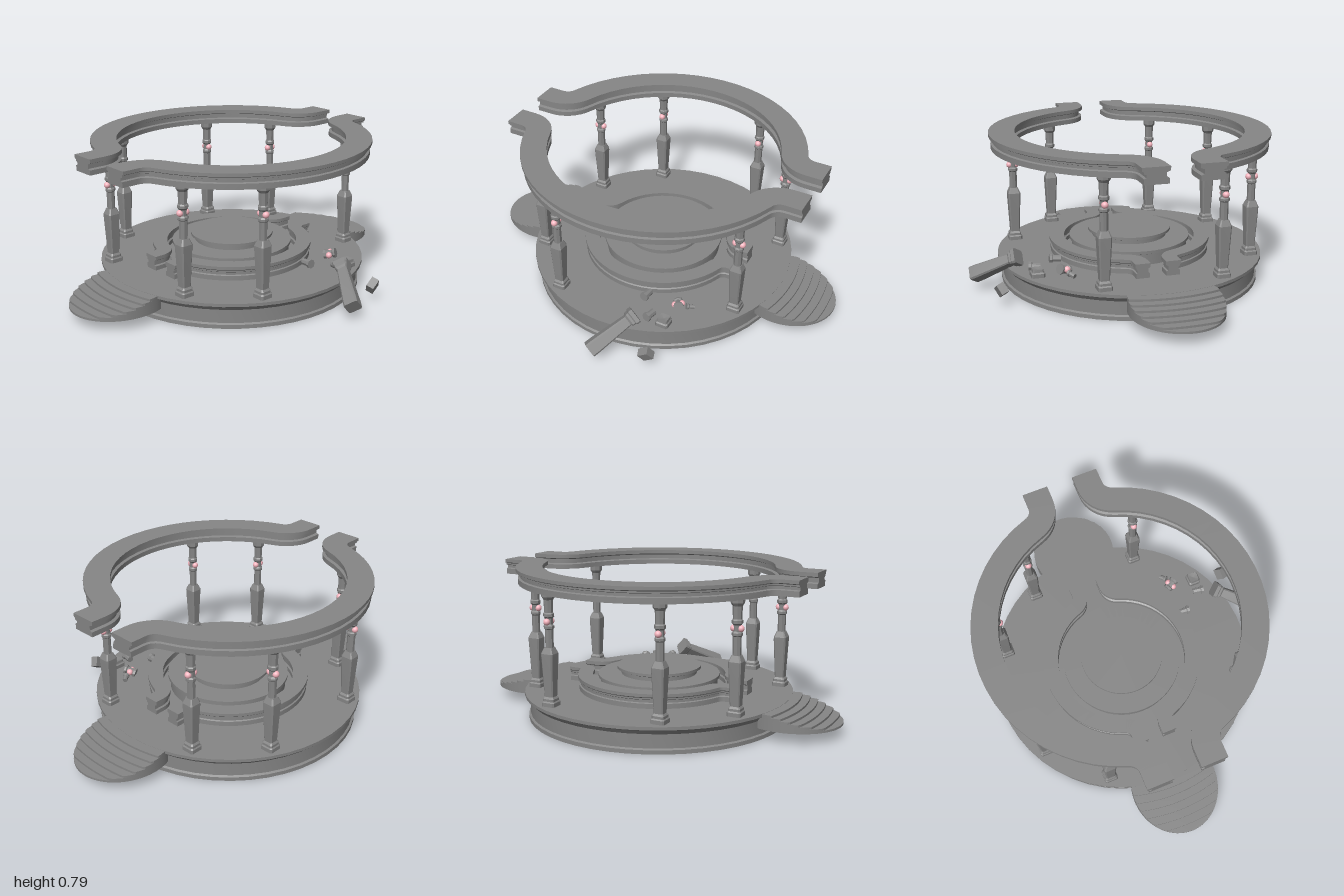
import * as THREE from 'three';
import { toCreasedNormals } from 'three/addons/utils/BufferGeometryUtils.js';

const stone = new THREE.MeshStandardMaterial({ color: 0x868686 });
const pink = new THREE.MeshStandardMaterial({ color: 0xf6b4be });

function add(parent, name, geo, mat = stone) {
  const mesh = new THREE.Mesh(geo, mat);
  mesh.name = name;
  parent.add(mesh);
  return mesh;
}

const lathe = (pts, sides) =>
  new THREE.LatheGeometry(pts.map(([r, y]) => new THREE.Vector2(r, y)), sides);
const turned = (pts, sides = 48) => toCreasedNormals(lathe(pts, sides), 0.4);

// Lathe with a chamfered square section; r is the half width
function chamfered(pts) {
  const geo = lathe(pts, 8), p = geo.attributes.position, half = THREE.MathUtils.degToRad(38);
  for (let i = 0; i < p.count; i++) {
    const k = Math.floor(i / pts.length) % 8;
    const r = pts[i % pts.length][0] / Math.cos(half);
    const a = Math.floor(k / 2) * Math.PI / 2 + (k % 2 ? half : -half);
    p.setX(i, r * Math.sin(a));
    p.setZ(i, r * Math.cos(a));
  }
  return toCreasedNormals(geo, 0.2);
}

// Plan of half a ring: straight end, reverse bend, main arc, then mirrored.
// Each entry is [x, z, tangentX, tangentZ].
function ringPath(R = 0.6675, endX = 0.83, endZ = 0.137, r = 0.12) {
  const th = Math.asin((endZ + r) / (R + r)), cx = (R + r) * Math.cos(th);
  const side = [[endX, endZ, -1, 0]];
  for (let i = 0; i <= 8; i++) {
    const a = 1.5 * Math.PI - (i / 8) * (Math.PI / 2 - th);
    side.push([cx + r * Math.cos(a), endZ + r + r * Math.sin(a), Math.sin(a), -Math.cos(a)]);
  }
  const arc = [];
  for (let i = 1; i < 22; i++) {
    const a = th + (i / 22) * (Math.PI - 2 * th);
    arc.push([R * Math.cos(a), R * Math.sin(a), -Math.sin(a), Math.cos(a)]);
  }
  const mirror = side.map(([x, z, tx, tz]) => [-x, z, tx, -tz]).reverse();
  return [...side, ...arc, ...mirror];
}

// Grooved moulding bent along the half-ring plan
function halfRing() {
  const outer = [[0.0575, 0], [0.0575, 0.028], [0.046, 0.032], [0.046, 0.046],
    [0.058, 0.05], [0.058, 0.058], [0.0675, 0.063], [0.0675, 0.08]];
  const inner = [[-0.0675, 0.08], [-0.0675, 0.06], [-0.048, 0.053], [-0.048, 0.03],
    [-0.063, 0.025], [-0.063, 0]];
  const shape = new THREE.Shape([...outer, ...inner].map(([u, y]) => new THREE.Vector2(u, y)));
  const path = ringPath(), n = path.length - 1;
  const geo = new THREE.ExtrudeGeometry(shape, { depth: n, steps: n, bevelEnabled: false });
  const p = geo.attributes.position;
  for (let i = 0; i < p.count; i++) {
    const [x, z, tx, tz] = path[Math.round(p.getZ(i))], u = p.getX(i);
    p.setXYZ(i, x + u * tz, p.getY(i), z - u * tx);
  }
  return toCreasedNormals(geo, 0.45);
}

// One tread: rounded landing trimmed by a circle about the platform centre
function tread(limit, bottom, height) {
  const pts = [[0.6, 0.19]];
  for (let i = 0; i <= 40; i++) {
    const a = THREE.MathUtils.degToRad(110 - i * 5.5);
    const x = 0.745 + 0.256 * Math.cos(a), z = 0.23 * Math.sin(a);
    const s = Math.min(1, limit / Math.hypot(x, z));
    pts.push([x * s, z * s]);
  }
  pts.push([0.6, -0.19]);
  const shape = new THREE.Shape(pts.map(([x, z]) => new THREE.Vector2(x, z)));
  const geo = new THREE.ExtrudeGeometry(shape, { depth: height, bevelEnabled: false });
  geo.rotateX(-Math.PI / 2).translate(0, bottom, 0);
  return toCreasedNormals(geo, 0.4);
}

const lowerShaft = [[0, 0], [0.036, 0], [0.036, 0.02], [0.031, 0.026], [0.031, 0.038], [0.024, 0.048],
  [0.033, 0.25], [0.033, 0.265], [0.021, 0.295], [0, 0.295]];
const upperShaft = [[0.021, 0.29], [0.021, 0.385], [0.026, 0.39], [0.026, 0.402], [0.02, 0.41],
  [0.02, 0.44], [0.027, 0.448], [0.027, 0.462], [0.022, 0.468], [0.024, 0.53], [0.034, 0.545],
  [0.034, 0.572], [0, 0.572]];

function beads(parent, y, alongX) {
  for (const s of [-1, 1]) {
    const bead = add(parent, 'bead', new THREE.SphereGeometry(0.017, 16, 12), pink);
    bead.position.set(alongX ? s * 0.018 : 0, y, alongX ? 0 : s * 0.018);
  }
}

function column(x, z) {
  const g = new THREE.Group();
  g.name = 'column';
  add(g, 'lowerShaft', chamfered(lowerShaft));
  add(g, 'upperShaft', turned(upperShaft, 8)).rotation.y = Math.PI / 8;
  beads(g, 0.423, Math.abs(x) > Math.abs(z));
  g.position.set(x, 0.14, z);
  return g;
}

export function createModel() {
  const model = new THREE.Group();
  model.name = 'ruinedRotunda';
  const rotunda = new THREE.Group();
  rotunda.name = 'rotunda';
  rotunda.position.set(-0.003, 0, -0.073);
  model.add(rotunda);

  // Platform
  add(rotunda, 'platform', turned([[0, 0], [0.69, 0], [0.69, 0.02], [0.68, 0.026], [0.68, 0.095],
    [0.695, 0.115], [0.708, 0.122], [0.708, 0.138], [0, 0.138]]));

  // Side stairs
  for (const turn of [0, Math.PI]) {
    const stairs = new THREE.Group();
    stairs.name = 'stairs';
    stairs.rotation.y = turn;
    for (let i = 0; i < 7; i++) add(stairs, 'step', tread(1.003 - i * 0.041, 0.06 + i * 0.011, 0.011));
    rotunda.add(stairs);
  }

  // Roof ring and the smaller ring around the dais
  const ring = halfRing();
  for (const turn of [0, Math.PI]) {
    const roof = add(rotunda, 'roofRing', ring);
    roof.position.y = 0.711;
    roof.rotation.y = turn;
    const kerb = add(rotunda, 'daisRing', ring);
    kerb.position.y = 0.136;
    kerb.scale.set(0.585, 0.97, 0.585);
    kerb.rotation.y = turn;
  }

  // Round dais
  add(rotunda, 'dais', turned([[0, 0.13], [0.31, 0.13], [0.31, 0.195], [0.322, 0.2], [0.322, 0.216],
    [0.2, 0.216], [0.2, 0.236], [0.222, 0.244], [0.222, 0.258], [0, 0.258]]));

  // Seven standing columns; the eighth has fallen
  for (const [a, b] of [[0.57, 0.303], [0.303, 0.57]])
    for (const sx of [-1, 1])
      for (const sz of [-1, 1])
        if (!(a < b && sx > 0 && sz > 0)) rotunda.add(column(sx * a, sz * b));

  // Stub left by the fallen column
  add(model, 'columnStub', chamfered([[0, 0], [0.034, 0], [0.034, 0.02], [0.028, 0.026], [0.026, 0.04], [0, 0.034]]))
    .position.set(0.3, 0.138, 0.497);

  // Fallen shaft leaning over the rim
  const top = new THREE.Vector3(0.178, 0.205, 0.568), foot = new THREE.Vector3(0.03, 0.075, 0.785);
  const fallen = add(model, 'fallenShaft', chamfered([...lowerShaft.slice(0, 7), [0.033, 0.285], [0, 0.285]]));
  fallen.position.copy(top);
  fallen.quaternion.setFromUnitVectors(new THREE.Vector3(0, 1, 0), foot.sub(top).normalize());
  fallen.scale.set(1.1, 1, 1.1);

  // Loose rubble
  const block = add(model, 'looseBlock', new THREE.BoxGeometry(0.06, 0.055, 0.04));
  block.position.set(0.297, 0.085, 0.678);
  block.rotation.set(0.35, 0.3, 0.5);

  const chip = turned([[0, -0.03], [0.018, -0.03], [0.018, 0.012], [0.024, 0.016], [0.024, 0.03], [0, 0.03]], 8);
  for (const [x, z, rx, rz, s] of [[0.135, 0.37, 1.5, 0.1, 1], [0.37, 0.34, 1.2, 0.9, 0.7], [0.22, 0.495, 1.5, 0.2, 1]]) {
    const piece = add(model, 'rubble', chip);
    piece.position.set(x, 0.138 + 0.022 * s, z);
    piece.rotation.set(rx, 0, rz);
    piece.scale.setScalar(s);
  }

  const neck = new THREE.Group();
  neck.name = 'brokenNeck';
  add(neck, 'neck', turned([[0, -0.03], [0.026, -0.03], [0.026, -0.018], [0.02, -0.012],
    [0.02, 0.018], [0.027, 0.024], [0.027, 0.034], [0, 0.034]], 8));
  beads(neck, 0, true);
  neck.position.set(0.313, 0.163, 0.362);
  neck.rotation.set(1.4, 0.3, -0.5);
  model.add(neck);

  return model;
}
